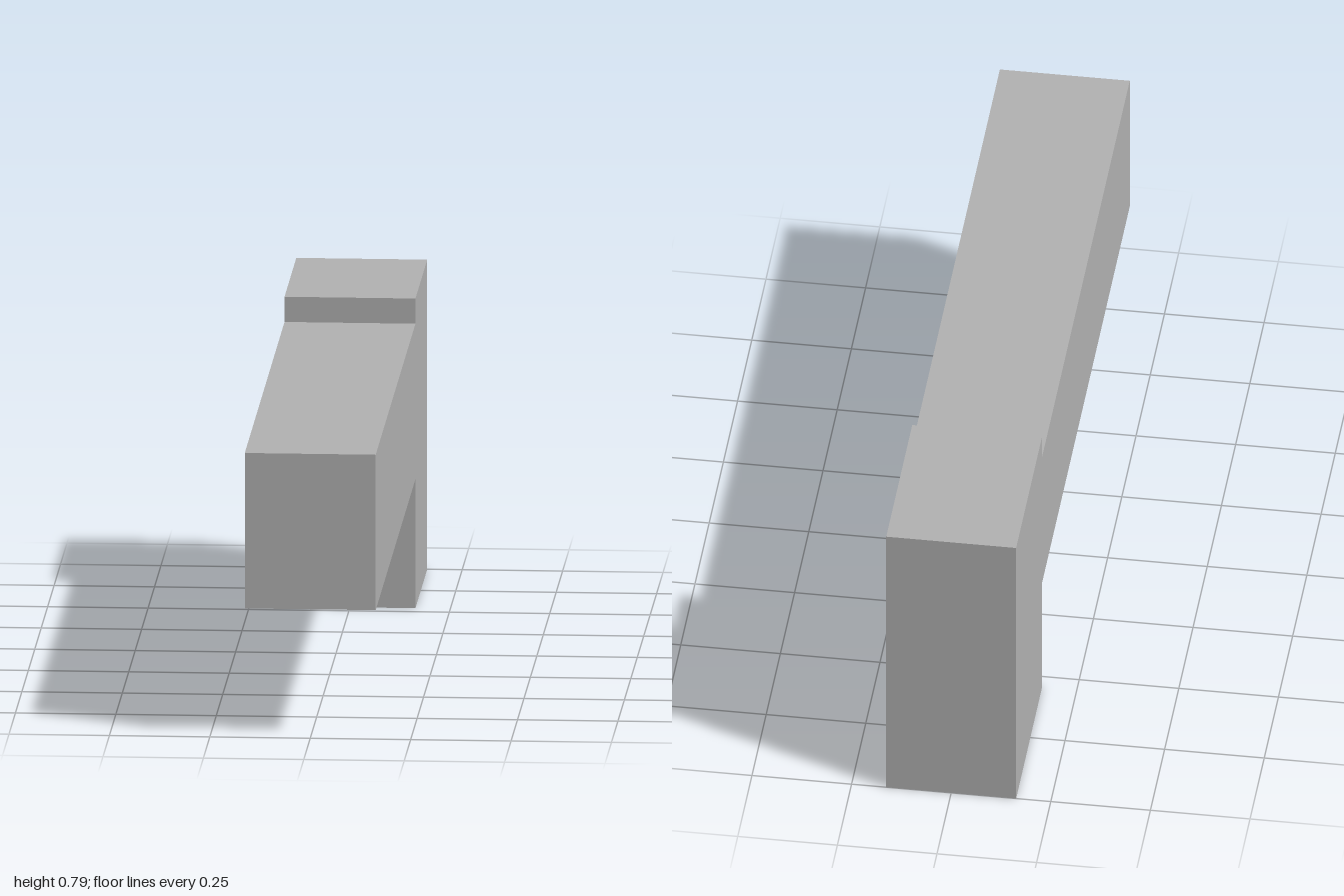
import * as THREE from 'three';

export function createModel() {
  const group = new THREE.Group();
  const grey = new THREE.MeshStandardMaterial({ color: 0xb2b2b2 });
  grey.name = 'plain grey';

  const width = 0.326;
  const front = 1, step = -0.542, back = -1;
  const beamBottom = 0.328, beamTop = 0.723, postTop = 0.787;

  // Side profile (z, y): a long beam reaching forward from an upright post
  const profile = new THREE.Shape([
    [back, 0], [step, 0], [step, beamBottom], [front, beamBottom],
    [front, beamTop], [step, beamTop], [step, postTop], [back, postTop],
  ].map(([z, y]) => new THREE.Vector2(z, y)));

  // Extrude across the width, then turn the profile to run along z
  const geometry = new THREE.ExtrudeGeometry(profile, { depth: width, bevelEnabled: false });
  geometry.translate(0, 0, -width / 2);
  geometry.rotateY(-Math.PI / 2);

  const body = new THREE.Mesh(geometry, grey);
  body.name = 'postAndBeam';
  group.add(body);
  return group;
}
